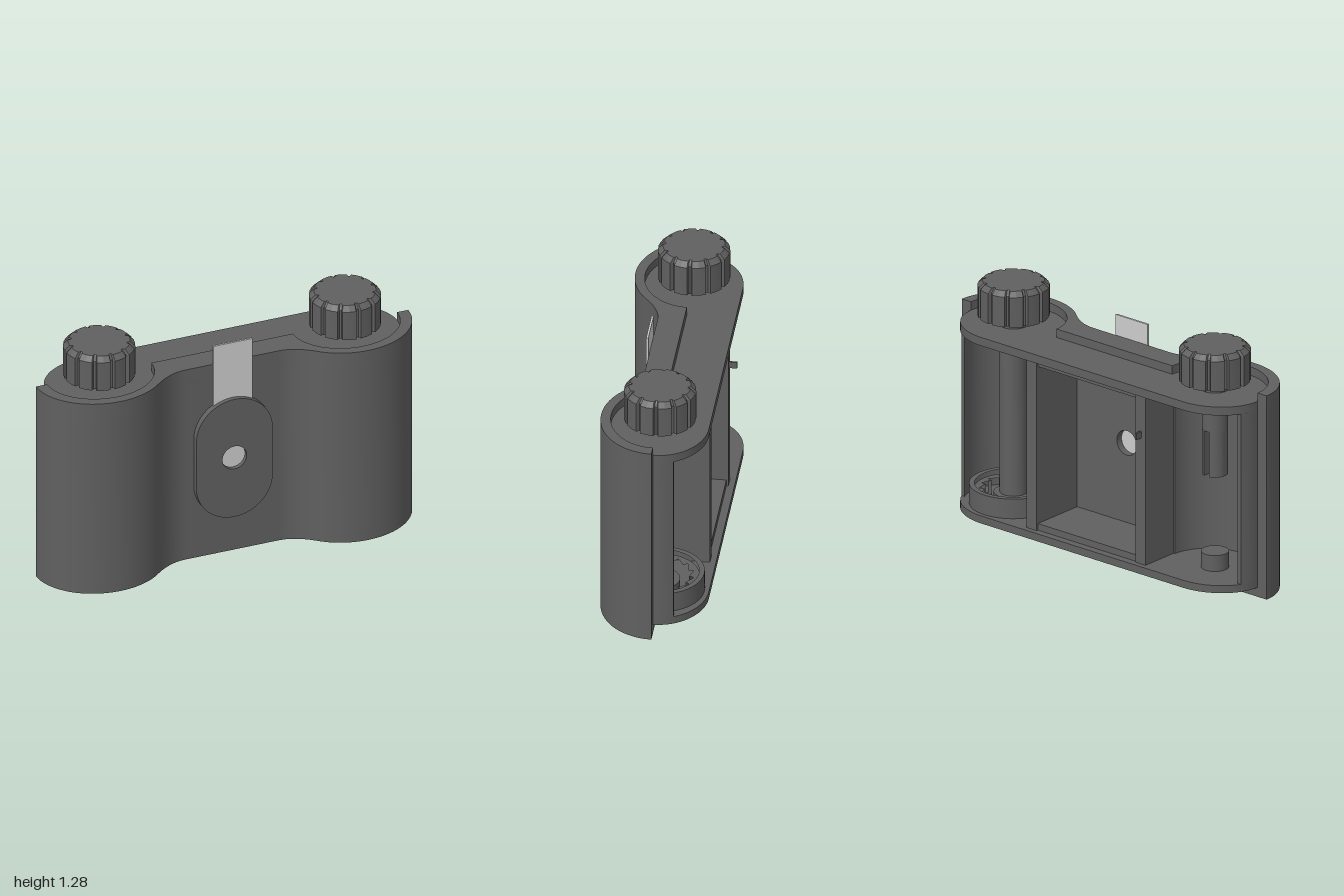
import * as THREE from 'three';
import { toCreasedNormals } from 'three/addons/utils/BufferGeometryUtils.js';

const dark = new THREE.MeshStandardMaterial({ color: 0x606060 });
const grey = new THREE.MeshStandardMaterial({ color: 0xcccccc });
const CX = 0.66, CZ = -0.02; // chamber centre (mirrored in x)

// Points [x, z] along an elliptical arc, angles in degrees
function arc(cx, cz, rx, rz, a0, a1, n = 32) {
  return Array.from({ length: n + 1 }, (_, i) => {
    const a = THREE.MathUtils.degToRad(a0 + (a1 - a0) * i / n);
    return [cx + rx * Math.cos(a), cz + rz * Math.sin(a)];
  });
}
const circle = (cx, cz, r, n = 32) => arc(cx, cz, r, r, 0, 360, n).slice(0, n);
const mirror = pts => pts.map(([x, z]) => [-x, z]).reverse();

// Vertical prism from a plan outline in x and z
function slab(pts, y0, y1, holes = []) {
  const vec = list => list.map(([x, z]) => new THREE.Vector2(x, -z));
  const shape = new THREE.Shape(vec(pts));
  shape.holes = holes.map(h => new THREE.Path(vec(h)));
  const geo = new THREE.ExtrudeGeometry(shape, { depth: y1 - y0, bevelEnabled: false });
  geo.rotateX(-Math.PI / 2).translate(0, y0, 0);
  return toCreasedNormals(geo, 0.4);
}

// Front outline of one half: round end, then a concave sweep into the flat middle
function frontHalf() {
  const round = arc(0.665, CZ, 0.335, 0.295, 0, 134.4, 40);
  const [x, z] = round[round.length - 1];
  const sweep = new THREE.QuadraticBezierCurve(
    new THREE.Vector2(x, z), new THREE.Vector2(0.337, 0.11), new THREE.Vector2(0.25, 0.11));
  return [...round, ...sweep.getPoints(12).slice(1).map(p => [p.x, p.y])];
}

// Flat panel facing the front, with a round pinhole
function panel(shape, z0, z1) {
  const hole = new THREE.Path();
  hole.absarc(0, 0.55, 0.065, 0, Math.PI * 2, true);
  shape.holes.push(hole);
  const geo = new THREE.ExtrudeGeometry(shape, { depth: z1 - z0, bevelEnabled: false, curveSegments: 32 });
  return toCreasedNormals(geo.translate(0, 0, z0), 0.4);
}

function box(x0, x1, y0, y1, z0, z1) {
  return new THREE.BoxGeometry(x1 - x0, y1 - y0, z1 - z0)
    .translate((x0 + x1) / 2, (y0 + y1) / 2, (z0 + z1) / 2);
}

// Fluted knob: straight skirt with a tapered crown
function makeKnob() {
  const pts = [];
  for (let i = 0; i < 12; i++) {
    for (const [a, r] of [[2, 0.163], [4, 0.18], [15, 0.18], [26, 0.18], [28, 0.163]]) {
      const t = THREE.MathUtils.degToRad(i * 30 + a);
      pts.push([r * Math.cos(t), r * Math.sin(t)]);
    }
  }
  const crown = slab(pts, 1.255, 1.28);
  const p = crown.attributes.position;
  for (let i = 0; i < p.count; i++) {
    if (p.getY(i) > 1.27) p.setXYZ(i, p.getX(i) * 0.86, p.getY(i), p.getZ(i) * 0.86);
  }
  crown.computeVertexNormals();
  return [slab(pts, 1.095, 1.255), crown];
}

export function createModel() {
  const model = new THREE.Group();
  const add = (name, geo, mat = dark, x = 0, z = 0) => {
    const mesh = new THREE.Mesh(geo, mat);
    mesh.name = name;
    mesh.position.set(x, 0, z);
    model.add(mesh);
  };

  const half = frontHalf();
  const front = [...half, ...mirror(half)];

  // Base with the rounded tripod boss and its hexagonal nut pocket
  const boss = arc(0, 0.02, 0.19, 0.19, 192.2, 347.8);
  add('base', slab([...front, ...boss], 0, 0.05, [circle(0, -0.03, 0.1, 6)]));

  // Bottom and top plates: rounded back, front edge kept inside the shell
  const end = arc(CX, CZ, 0.28, 0.245, -90, 155, 48);
  const plate = [...end, [0.38, 0.1], [-0.38, 0.1], ...mirror(end)];
  add('bottomPlate', slab(plate, 0.05, 0.09));
  add('topPlate', slab(plate, 1.0, 1.045));

  // Shell rim around the recessed top plate
  const inner = arc(CX, CZ, 0.28, 0.245, 180, 0);
  add('topRim', slab([...front, ...mirror(inner), ...inner], 1.0, 1.09));

  // Shell sides with the light box walls, and thin chamber liners
  const side = [...half, [0.25, 0.075], [0.325, 0.075], [0.325, -0.235], [0.39, -0.235], [0.39, CZ], ...inner];
  const liner = [...arc(CX, CZ, 0.28, 0.245, -24, 180), ...arc(CX, CZ, 0.262, 0.227, 180, -26)];
  for (const [label, flip] of [['left', p => p], ['right', mirror]]) {
    add(label + 'Shell', slab(flip(side), 0.05, 1.0));
    add(label + 'ChamberLiner', slab(flip(liner), 0.09, 1.0));
  }

  // Front wall with pinhole, light box floor and ceiling
  const wall = new THREE.Shape();
  wall.moveTo(-0.25, 0.05).lineTo(0.25, 0.05).lineTo(0.25, 1.0).lineTo(-0.25, 1.0);
  add('frontWall', panel(wall, 0.075, 0.11));
  add('lightBoxFloor', box(-0.325, 0.325, 0.09, 0.125, -0.225, 0.08));
  add('lightBoxCeiling', box(-0.325, 0.325, 0.965, 1.0, -0.225, 0.08));
  add('frameCounterPin', box(-0.365, -0.355, 0.765, 0.8, -0.275, -0.22));

  // Oval pinhole cover and sliding shutter
  const oval = new THREE.Shape();
  oval.absarc(0, 0.68, 0.205, 0, Math.PI, false);
  oval.absarc(0, 0.415, 0.205, Math.PI, Math.PI * 2, false);
  add('pinholeCover', panel(oval, 0.11, 0.145));
  add('shutter', box(-0.105, 0.105, 0.42, 1.2, 0.111, 0.122), grey);

  // Knobs and their shafts
  for (const s of [1, -1]) {
    for (const geo of makeKnob()) add(s > 0 ? 'leftKnob' : 'rightKnob', geo, dark, s * CX, CZ);
    add('knobShaft', slab(circle(0, 0, 0.073), 0.99, 1.1), dark, s * CX, CZ);
  }

  // Take-up spool standing in a ratchet cup
  add('takeUpSpool', slab(circle(0, 0, 0.07), 0.09, 1.0), dark, CX, CZ);
  add('ratchetCup', slab(circle(0, 0, 0.222, 48), 0.09, 0.195, [circle(0, 0, 0.195, 48)]), dark, CX, CZ);
  const teeth = [];
  for (let i = 0; i < 16; i++) {
    for (const [a, r] of [[0, 0.145], [2, 0.172]]) {
      const t = THREE.MathUtils.degToRad(i * 22.5 + a);
      teeth.push([r * Math.cos(t), r * Math.sin(t)]);
    }
  }
  add('ratchetTeeth', slab(circle(0, 0, 0.196, 48), 0.09, 0.17, [teeth]), dark, CX, CZ);
  add('ratchetHub', slab(circle(0, 0, 0.1), 0.09, 0.15), dark, CX, CZ);

  // Rewind fork with two prongs, and the lower cartridge post
  add('rewindFork', slab(circle(0, 0, 0.065), 0.83, 1.0), dark, -CX, CZ);
  const prong = arc(0, 0, 0.065, 0.065, -76, 76, 20);
  add('forkProng', slab(prong, 0.59, 0.83), dark, -CX, CZ);
  add('forkProng', slab(mirror(prong), 0.59, 0.83), dark, -CX, CZ);
  add('cartridgePost', slab(circle(0, 0, 0.07), 0.09, 0.175), dark, -CX, CZ);

  return model;
}
